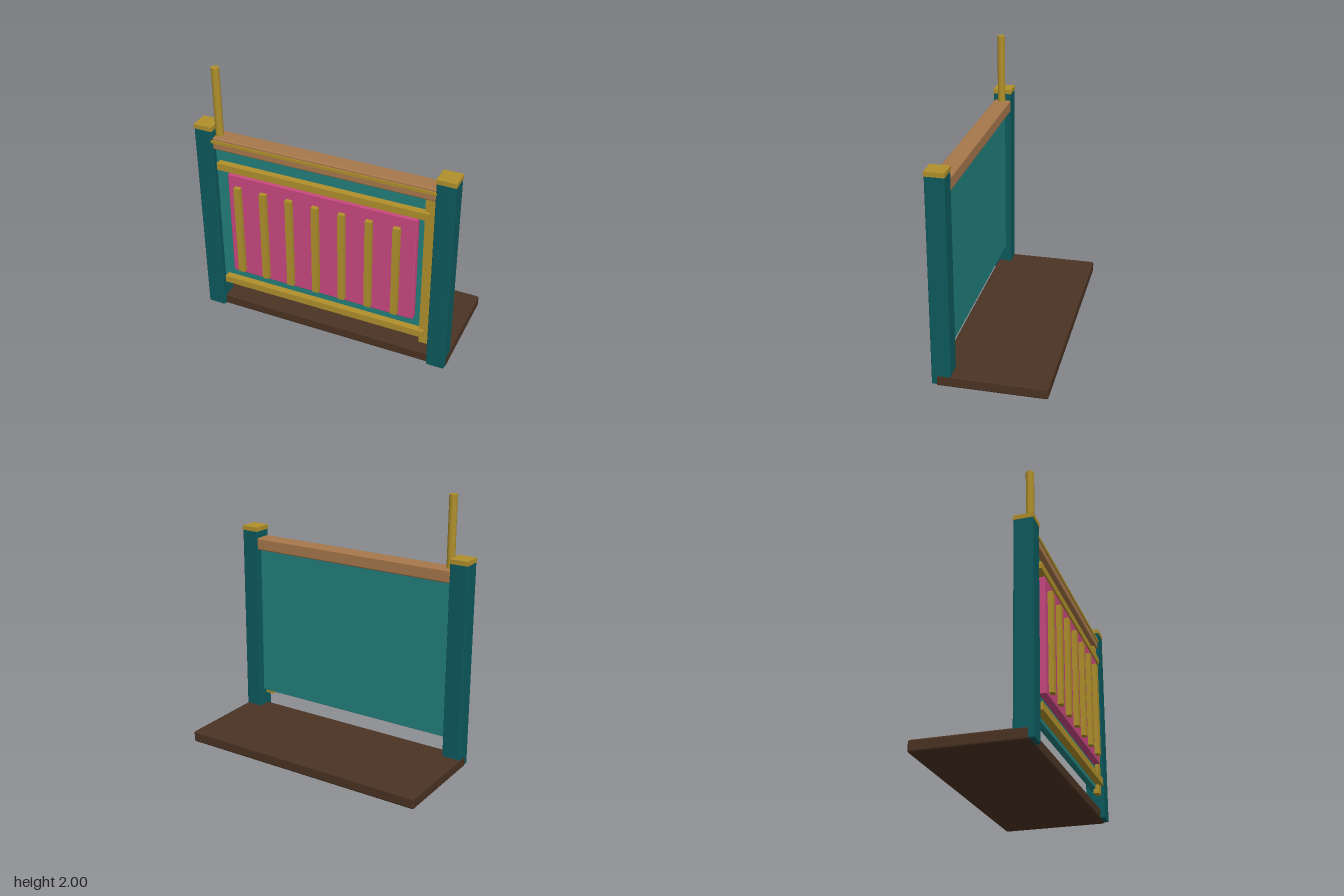
import * as THREE from 'three';
import { RoundedBoxGeometry } from 'three/addons/geometries/RoundedBoxGeometry.js';

const paint = (name, color) => {
  const m = new THREE.MeshStandardMaterial({ color });
  m.name = name;
  return m;
};

export function createModel() {
  const model = new THREE.Group();
  model.name = 'gatePanel';
  const gold = paint('gold', 0xb0902c);
  const darkTeal = paint('darkTeal', 0x0d5a5e);
  const teal = paint('teal', 0x22807d);
  const pink = paint('pink', 0xc9487f);
  const wood = paint('wood', 0xa8784c);
  const darkWood = paint('darkWood', 0x4a3323);

  // Box given by its extents on each axis, with an optional rounded edge
  const slab = (name, material, [x0, x1], [y0, y1], [z0, z1], bevel = 0) => {
    const size = [x1 - x0, y1 - y0, z1 - z0];
    const geometry = bevel
      ? new RoundedBoxGeometry(...size, 2, bevel)
      : new THREE.BoxGeometry(...size);
    const mesh = new THREE.Mesh(geometry, material);
    mesh.name = name;
    mesh.position.set((x0 + x1) / 2, (y0 + y1) / 2, (z0 + z1) / 2);
    model.add(mesh);
    return mesh;
  };

  // Floor board behind the panel
  slab('base', darkWood, [-0.96, 0.96], [0, 0.085], [-0.425, 0.355], 0.015);

  // Corner posts with flat caps
  for (const [side, s] of [['left', 1], ['right', -1]]) {
    const xs = s > 0 ? [0.823, 0.958] : [-0.958, -0.823];
    const capXs = s > 0 ? [0.821, 0.96] : [-0.96, -0.821];
    slab(side + 'Post', darkTeal, xs, [0.01, 1.535], [0.25, 0.385], 0.006);
    slab(side + 'PostCap', gold, capXs, [1.533, 1.566], [0.247, 0.387]);
  }

  // Main panel and top rail
  slab('panel', teal, [-0.826, 0.826], [0.215, 1.4], [0.295, 0.34], 0.004);
  slab('topRail', wood, [-0.826, 0.826], [1.39, 1.485], [0.25, 0.378], 0.012);
  slab('railTrim', gold, [-0.835, 0.83], [1.444, 1.466], [0.37, 0.386]);

  // Frame strips on the front
  slab('sideStrip', gold, [0.752, 0.825], [0.18, 1.39], [0.325, 0.365]);
  slab('lowerStrip', gold, [-0.795, 0.79], [0.247, 0.3], [0.335, 0.391]);
  slab('upperStrip', gold, [-0.795, 0.79], [1.239, 1.292], [0.335, 0.391]);

  // Inset panel with seven upright bars
  slab('insetPanel', pink, [-0.712, 0.708], [0.387, 1.222], [0.335, 0.39], 0.006);
  for (let i = 0; i < 7; i++) {
    const x = -0.63 + i * 0.2007;
    slab('bar' + (i + 1), gold, [x - 0.024, x + 0.024], [0.415, 1.138], [0.38, 0.425]);
  }

  // Pole standing on the rail
  const pole = new THREE.Mesh(new THREE.CylinderGeometry(0.029, 0.029, 0.55, 16), gold);
  pole.name = 'pole';
  pole.position.set(-0.797, 1.725, 0.316);
  model.add(pole);

  return model;
}
